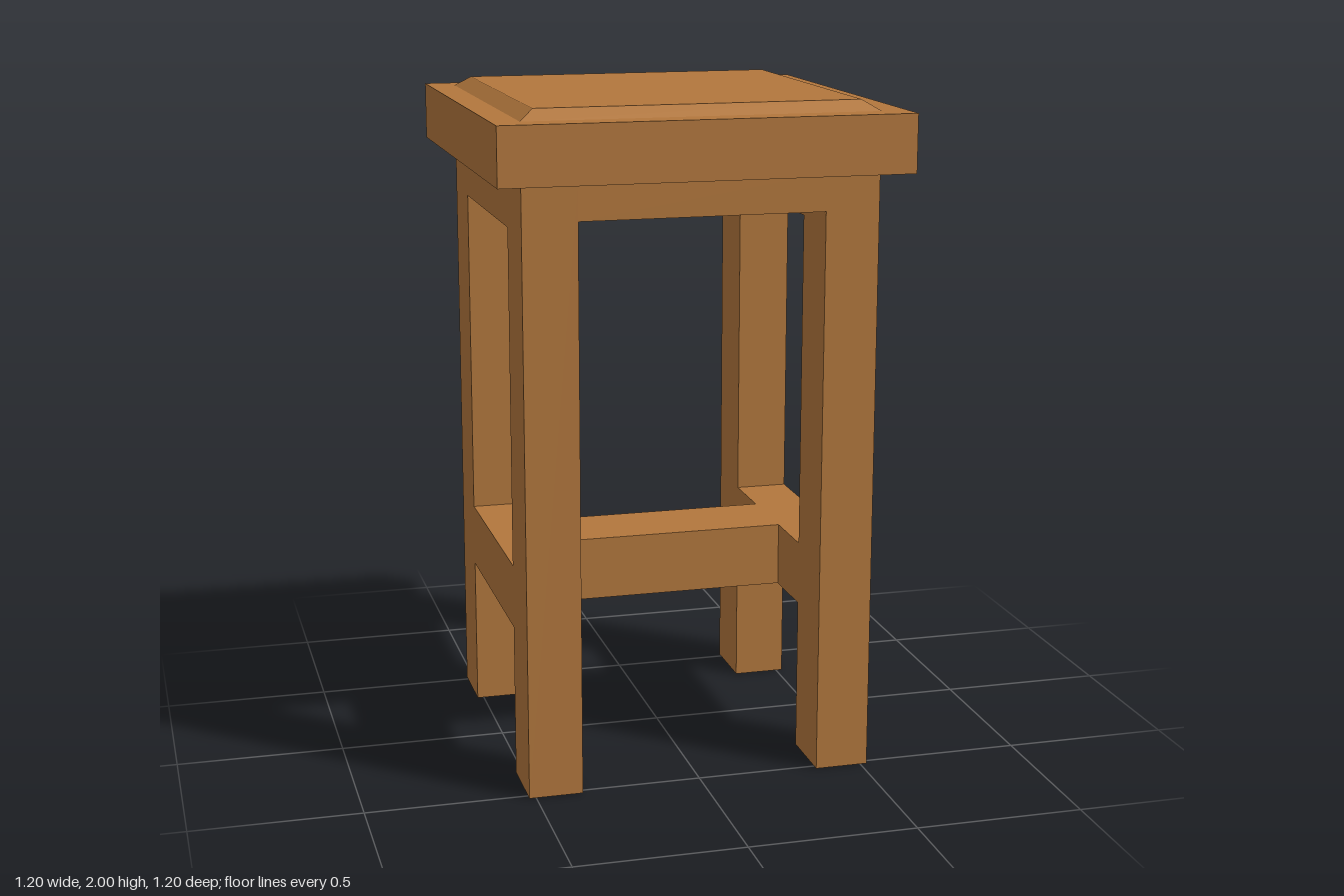
import * as THREE from 'three';

export function createModel() {
  const model = new THREE.Group();
  model.name = 'stool';
  const wood = new THREE.MeshStandardMaterial({ color: 0xb2773d, flatShading: true });

  // Box given by its extents on each axis
  function box(name, [x0, x1], [y0, y1], [z0, z1]) {
    const mesh = new THREE.Mesh(new THREE.BoxGeometry(x1 - x0, y1 - y0, z1 - z0), wood);
    mesh.position.set((x0 + x1) / 2, (y0 + y1) / 2, (z0 + z1) / 2);
    mesh.name = name;
    model.add(mesh);
  }

  const outer = 0.52;   // outer face of the frame
  const legX = 0.36;    // inner face of the legs across x
  const legZ = 0.32;    // inner face of the legs across z
  const seatY = 1.8;    // underside of the seat
  const railY = [0.46, 0.65];
  const span = (s, a, b) => (s > 0 ? [a, b] : [-b, -a]);

  for (const s of [1, -1]) {
    const side = s > 0 ? 'left' : 'right';
    const end = s > 0 ? 'front' : 'back';
    const sideX = span(s, legX, outer);

    // Legs
    box(side + 'FrontLeg', sideX, [0, seatY], [legZ, outer]);
    box(side + 'BackLeg', sideX, [0, seatY], [-outer, -legZ]);

    // Aprons under the seat
    box(side + 'Apron', sideX, [1.65, seatY], [-legZ, legZ]);
    box(end + 'Apron', [-legX, legX], [1.69, seatY], span(s, legZ, outer));

    // Side stretchers, flush with the legs
    box(side + 'Stretcher', sideX, railY, [-legZ, legZ]);
  }

  // Middle stretcher joining the two sides
  box('crossStretcher', [-legX, legX], railY, [-0.12, 0.12]);

  // Seat slab
  box('seat', [-0.6, 0.6], [seatY, 1.97], [-0.6, 0.6]);

  // Raised panel with sloping edges
  const panelGeometry = new THREE.CylinderGeometry(0.475 * Math.SQRT2, outer * Math.SQRT2, 0.03, 4)
    .rotateY(Math.PI / 4)
    .toNonIndexed();
  panelGeometry.computeVertexNormals();
  const panel = new THREE.Mesh(panelGeometry, wood);
  panel.position.y = 1.985;
  panel.name = 'seatPanel';
  model.add(panel);

  return model;
}
